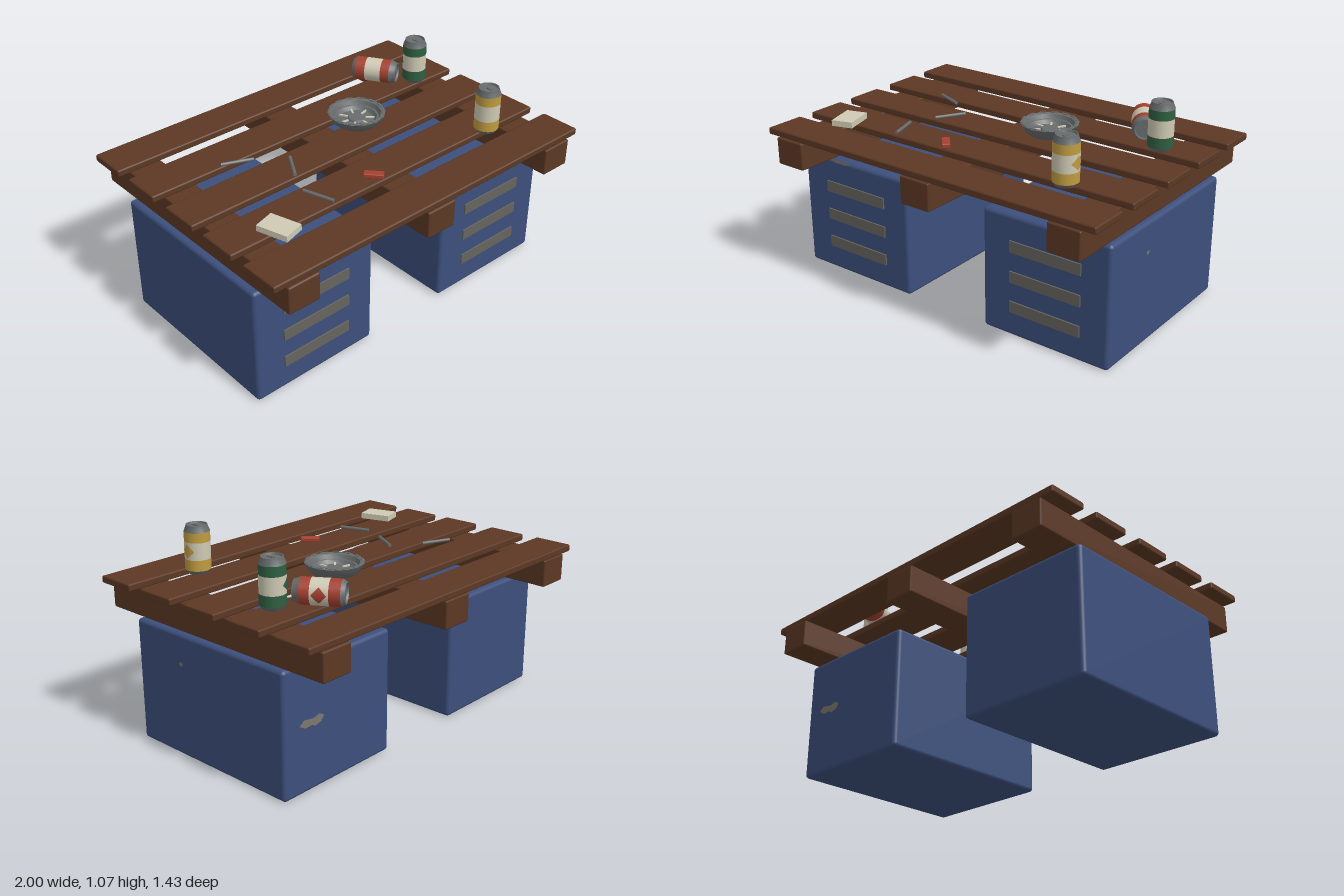
import * as THREE from 'three';
import { RoundedBoxGeometry } from 'three/addons/geometries/RoundedBoxGeometry.js';
import { toCreasedNormals } from 'three/addons/utils/BufferGeometryUtils.js';

const mat = (name, color, side = THREE.FrontSide) => {
  const m = new THREE.MeshStandardMaterial({ color, side });
  m.name = name;
  return m;
};

export function createModel() {
  const root = new THREE.Group();
  root.name = 'palletTable';
  const wood = mat('brown wood', 0x5c3824);
  const blue = mat('blue plastic', 0x3c4f7c);
  const slotGrey = mat('vent grey', 0x66645e);
  const metal = mat('grey metal', 0x686c6c, THREE.DoubleSide);
  const cream = mat('cream', 0xcfcab4);
  const yellow = mat('yellow', 0xc09c40);
  const green = mat('green', 0x2f5f41);
  const red = mat('red', 0xa6402f);
  const worn = mat('worn patch', 0x7c786c, THREE.DoubleSide);

  const add = (parent, name, geo, material, x = 0, y = 0, z = 0, ry = 0) => {
    const mesh = new THREE.Mesh(geo, material);
    mesh.name = name;
    mesh.position.set(x, y, z);
    mesh.rotation.y = ry;
    parent.add(mesh);
    return mesh;
  };
  const lathe = (points, sides) =>
    toCreasedNormals(new THREE.LatheGeometry(points.map(p => new THREE.Vector2(...p)), sides), 0.6);

  // Crates with three raised vents on the front
  for (const x of [-0.6025, 0.5975]) {
    add(root, 'crate', new RoundedBoxGeometry(0.715, 0.64, 1, 3, 0.02), blue, x, 0.32, 0);
    for (const y of [0.16, 0.32, 0.48])
      add(root, 'vent', new THREE.BoxGeometry(0.4, 0.06, 0.012), slotGrey, Math.sign(x) * 0.6, y, 0.502);
  }

  // Worn paint patches
  const patch = (points, x, y, z, ry) => {
    const shape = new THREE.Shape(points.map(p => new THREE.Vector2(...p)));
    add(root, 'wornPatch', new THREE.ShapeGeometry(shape), worn, x, y, z, ry);
  };
  patch([[-0.14, 0.012], [-0.11, 0], [-0.05, -0.002], [-0.01, 0.004], [0.03, -0.004],
    [0.1, -0.003], [0.14, 0.012]], -0.76, 0.628, 0.502, 0);
  patch([[-0.15, 0.012], [-0.12, -0.004], [-0.1, 0], [-0.08, -0.018], [-0.03, -0.016],
    [0, -0.006], [0.08, -0.008], [0.13, 0], [0.15, 0.012]], 0.77, 0.628, 0.502, 0);
  patch([[-0.08, 0], [-0.04, -0.022], [0, -0.018], [0.02, -0.03], [0.06, -0.02],
    [0.08, 0.005], [0.05, 0.022], [0.01, 0.012], [-0.05, 0.022]], 0.78, 0.35, -0.503, Math.PI);
  patch([[-0.013, 0.004], [-0.008, -0.01], [0.008, -0.01], [0.012, 0.002], [0, 0.012]],
    0.957, 0.487, 0.18, Math.PI / 2);

  // Pallet bearers and planks
  for (const x of [-0.84, 0, 0.84])
    add(root, 'bearer', new RoundedBoxGeometry(0.176, 0.145, 1.43, 1, 0.008), wood, x, 0.7125, -0.002);
  const planks = [[-0.605, -0.005, 0.21], [-0.306, -0.005, 0.212], [-0.002, 0.006, 0.212],
    [0.295, 0.001, 0.213], [0.595, -0.001, 0.216]];
  for (const [z, turn, width] of planks)
    add(root, 'plank', new RoundedBoxGeometry(1.995, 0.037, width, 1, 0.008), wood, 0, 0.8025, z, turn);

  // Drink can: metal ends, coloured body, cream band and a curved diamond
  const R = 0.0645;
  const can = (name, paint, diamondAngle) => {
    const g = new THREE.Group();
    g.name = name;
    add(g, 'canBase', lathe([[0, 0.012], [0.042, 0.01], [0.047, 0], [0.052, 0.001], [R, 0.02]], 20), metal);
    const ring = (part, y0, y1, m) =>
      add(g, part, new THREE.CylinderGeometry(R, R, y1 - y0, 20, 1, true), m, 0, (y0 + y1) / 2, 0);
    ring('lowerBody', 0.02, 0.075, paint);
    ring('labelBand', 0.075, 0.163, cream);
    ring('upperBody', 0.163, 0.212, paint);
    add(g, 'canTop', lathe([[R, 0.212], [0.054, 0.238], [0.053, 0.245], [0.048, 0.245],
      [0.045, 0.236], [0, 0.236]], 20), metal);
    add(g, 'pullTab', new THREE.BoxGeometry(0.018, 0.004, 0.034), metal, 0, 0.24, 0.008);
    add(g, 'tabRivet', new THREE.CylinderGeometry(0.009, 0.009, 0.006, 8), metal, 0, 0.24, -0.006);
    const diamond = new THREE.PlaneGeometry(2, 2, 6, 6);
    const p = diamond.attributes.position;
    for (let i = 0; i < p.count; i++) {
      const s = (p.getX(i) - p.getY(i)) / 2, t = (p.getX(i) + p.getY(i)) / 2;
      const a = s * 0.62 + diamondAngle;
      p.setXYZ(i, Math.sin(a) * (R + 0.0015), 0.119 + t * 0.036, Math.cos(a) * (R + 0.0015));
    }
    diamond.computeVertexNormals();
    add(g, 'diamond', diamond, paint);
    root.add(g);
    return g;
  };
  can('yellowCan', yellow, Math.PI / 2).position.set(0.638, 0.82, 0.4);
  can('greenCan', green, 3.75).position.set(0.755, 0.82, -0.245);
  const fallen = can('redCan', red, Math.PI / 2);
  fallen.rotation.set(Math.PI / 2, 0.55, 0, 'YXZ');
  fallen.position.set(0.522, 0.885, -0.482);

  // Dish with a notched rim and radial slots around its hub
  const dish = new THREE.Group();
  dish.name = 'dish';
  dish.position.set(0.197, 0.82, -0.105);
  root.add(dish);
  add(dish, 'dishBowl', lathe([[0, 0], [0.11, 0], [0.132, 0.02], [0.152, 0.058], [0.142, 0.062],
    [0.128, 0.056], [0.118, 0.034], [0.108, 0.034], [0.094, 0.014], [0.046, 0.018],
    [0.042, 0.026], [0, 0.026]], 14), metal);
  for (let i = 0; i < 7; i++) {
    const a = (i + 0.3) * Math.PI * 2 / 7;
    add(dish, 'radialSlot', new THREE.BoxGeometry(0.046, 0.008, 0.009), cream,
      Math.cos(a) * 0.071, 0.02, -Math.sin(a) * 0.071, a);
  }
  for (let i = 0; i < 14; i++) {
    const a = (i + 0.5) * Math.PI * 2 / 14;
    add(dish, 'rimLug', new THREE.BoxGeometry(0.012, 0.006, 0.04), metal,
      Math.cos(a) * 0.14, 0.06, -Math.sin(a) * 0.14, a);
  }

  // Loose rods
  const rods = [[-0.6, -0.208, -0.447, -0.145], [-0.302, -0.042, -0.387, 0.102], [-0.445, 0.232, -0.395, 0.392]];
  for (const [x1, z1, x2, z2] of rods) {
    const geo = new THREE.CylinderGeometry(0.009, 0.009, Math.hypot(x2 - x1, z2 - z1), 8).rotateZ(Math.PI / 2);
    add(root, 'rod', geo, metal, (x1 + x2) / 2, 0.834, (z1 + z2) / 2, Math.atan2(z1 - z2, x2 - x1));
  }

  // Paper pack and small red block
  add(root, 'paperPack', new THREE.BoxGeometry(0.115, 0.031, 0.168), cream, -0.722, 0.8365, 0.394, 0.29);
  add(root, 'redBlock', new RoundedBoxGeometry(0.1, 0.024, 0.042, 1, 0.005), red, -0.105, 0.835, 0.352, -0.85);

  return root;
}
